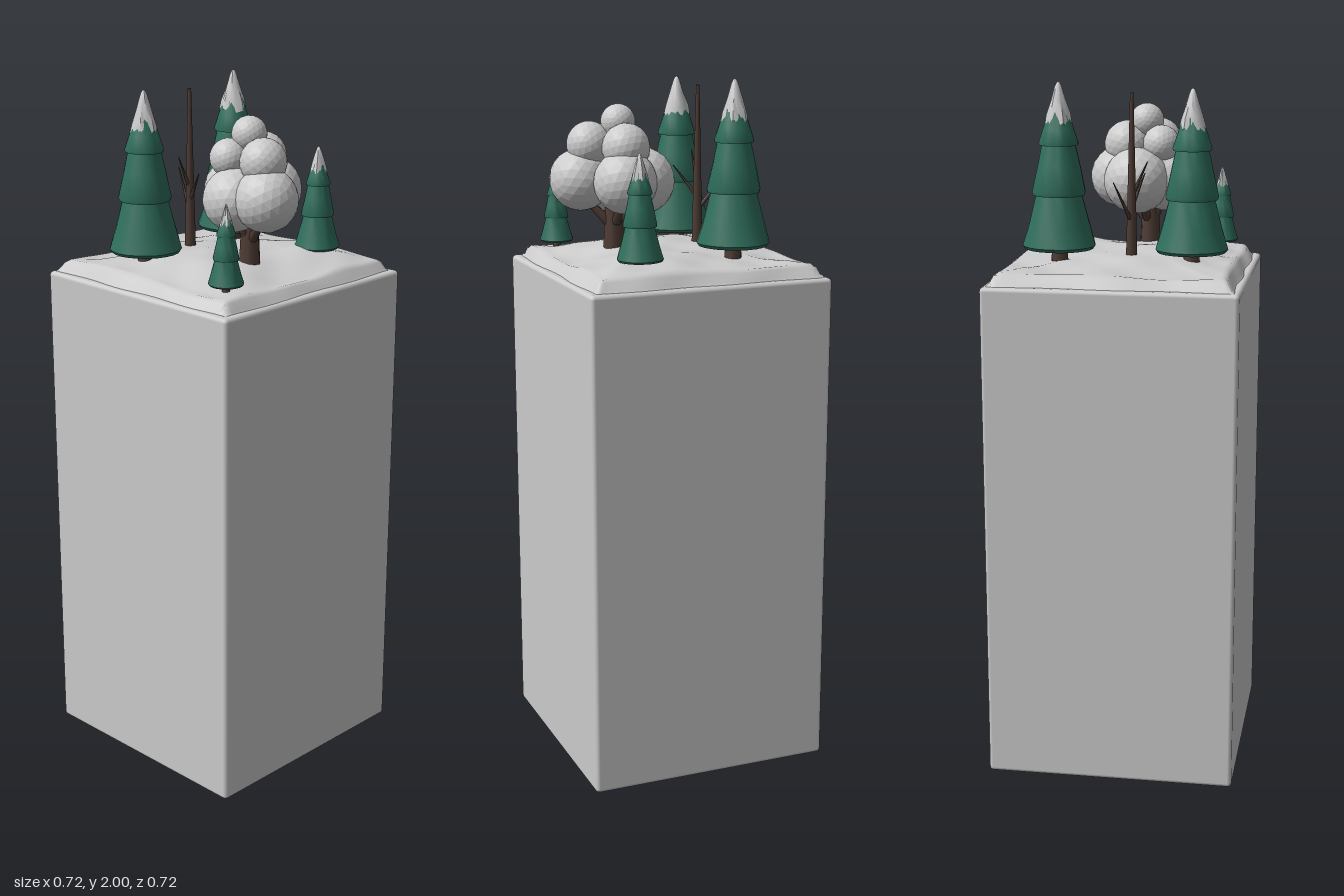
import * as THREE from 'three';
import { RoundedBoxGeometry } from 'three/addons/geometries/RoundedBoxGeometry.js';
import { toCreasedNormals } from 'three/addons/utils/BufferGeometryUtils.js';

const grey = new THREE.MeshStandardMaterial({ color: 0xcccccc });
const facetedSnow = new THREE.MeshStandardMaterial({ color: 0xcccccc, flatShading: true });
const green = new THREE.MeshStandardMaterial({ color: 0x2f6e5c });
const brown = new THREE.MeshStandardMaterial({ color: 0x4f3c35 });

function part(parent, name, geometry, material) {
  const mesh = new THREE.Mesh(geometry, material);
  mesh.name = name;
  parent.add(mesh);
  return mesh;
}

const smooth = (v, a, b) => THREE.MathUtils.smoothstep(v, a, b);

// Height of the snow: a steep rim, then soft drifts
function snowHeight(x, z) {
  const d = 0.35 - Math.max(Math.abs(x), Math.abs(z));
  const drift = 0.007 * Math.sin(11 * x + 4 * z + 1) + 0.005 * Math.sin(17 * z - 7 * x)
    + 0.003 * Math.sin(37 * x + 2) * Math.sin(31 * z);
  return 1.45 + 0.04 * smooth(d, 0, 0.035) + 0.025 * smooth(d, 0.02, 0.22) + drift * smooth(d, 0, 0.06);
}

function snowGeometry() {
  const g = new THREE.PlaneGeometry(0.7, 0.7, 56, 56).rotateX(-Math.PI / 2);
  const p = g.attributes.position;
  for (let i = 0; i < p.count; i++) {
    const x = p.getX(i), z = p.getZ(i);
    const edge = smooth(Math.max(Math.abs(x), Math.abs(z)), 0.3, 0.35);
    const wobble = 1 - 0.012 * edge * (1 + Math.sin(23 * x + 19 * z));
    p.setXYZ(i, x * wobble, snowHeight(x, z), z * wobble);
  }
  g.computeVertexNormals();
  return g;
}

// Lathe whose rings are gently irregular around the axis
function roughLathe(profile, sides, amount, seed, rim = 0) {
  const g = new THREE.LatheGeometry(profile.map(([r, y]) => new THREE.Vector2(r, y)), sides);
  const p = g.attributes.position;
  for (let i = 0; i < p.count; i++) {
    const x = p.getX(i), y = p.getY(i), z = p.getZ(i);
    const a = Math.atan2(z, x);
    const k = 1 + amount * (Math.sin(3 * a + seed + y * 40) + 0.6 * Math.sin(7 * a + seed * 2));
    const drop = y < 0.06 ? rim * Math.sin(5 * a + seed) : 0;
    p.setXYZ(i, x * k, y + drop, z * k);
  }
  return toCreasedNormals(g, 0.7);
}

// Tiered conifer with a snowy tip; profiles are fractions of radius and height
function conifer(parent, name, x, z, radius, base, top, seed) {
  const tree = new THREE.Group();
  tree.name = name;
  tree.position.set(x, base, z);
  const h = top - base;
  const tiers = [[0, 0.03], [0.94, 0], [1, 0.02], [0.84, 0.14], [0.6, 0.35],
    [0.71, 0.325], [0.73, 0.345], [0.58, 0.5], [0.44, 0.645],
    [0.53, 0.625], [0.54, 0.64], [0.42, 0.72], [0.28, 0.82], [0, 0.95]];
  const cap = [[0.3, 0], [0.385, 0.0], [0.34, 0.05], [0.2, 0.15], [0.1, 0.225], [0.05, 0.25], [0, 0.258]];
  const fit = ([r, y]) => [r * radius, y * h];
  part(tree, 'foliage', roughLathe(tiers.map(fit), 22, 0.012, seed), green);
  const tip = part(tree, 'snowCap', roughLathe(cap.map(fit), 12, 0.035, seed, 0.012 * h / 0.47), grey);
  tip.position.y = 0.742 * h;
  const trunk = part(tree, 'trunk', new THREE.CylinderGeometry(radius * 0.2, radius * 0.24, 0.08, 10), brown);
  trunk.position.y = -0.005;
  parent.add(tree);
}

// Tapered limb between two points
function limb(parent, name, from, to, r0, r1, sides = 8) {
  const a = new THREE.Vector3(...from), b = new THREE.Vector3(...to);
  const dir = b.clone().sub(a);
  const mesh = part(parent, name, new THREE.CylinderGeometry(r1, r0, dir.length(), sides), brown);
  mesh.position.copy(a).add(b).multiplyScalar(0.5);
  mesh.quaternion.setFromUnitVectors(new THREE.Vector3(0, 1, 0), dir.normalize());
}

export function createModel() {
  const model = new THREE.Group();
  model.name = 'snowyPedestal';

  // Pedestal and snow cover
  part(model, 'pedestal', new RoundedBoxGeometry(0.72, 1.455, 0.72, 2, 0.012), grey).position.y = 0.7275;
  part(model, 'snowGround', snowGeometry(), grey);

  // Conifers
  conifer(model, 'tallBackConifer', -0.135, -0.175, 0.104, 1.535, 2.0, 0.4);
  conifer(model, 'tallFrontConifer', -0.115, 0.2, 0.103, 1.53, 1.985, 2.1);
  conifer(model, 'smallBackConifer', 0.165, -0.217, 0.065, 1.515, 1.81, 3.7);
  conifer(model, 'smallFrontConifer', 0.252, 0.248, 0.049, 1.508, 1.725, 5.2);

  // Round tree with a snow-laden crown: x, y, z, radius
  const roundTree = new THREE.Group();
  roundTree.name = 'roundTree';
  limb(roundTree, 'trunk', [0.145, 1.48, 0.045], [0.145, 1.66, 0.045], 0.032, 0.023, 10);
  const crown = [
    [0.07, 1.705, 0.015, 0.096], [0.14, 1.71, -0.04, 0.091],
    [0.135, 1.7, 0.095, 0.09], [0.234, 1.71, 0.075, 0.09],
    [0.211, 1.81, 0.062, 0.066], [0.13, 1.805, -0.02, 0.069],
    [0.1, 1.81, 0.083, 0.054], [0.133, 1.874, 0.036, 0.05]];
  crown.forEach(([x, y, z, r], i) => {
    const puff = part(roundTree, 'crownPuff', new THREE.IcosahedronGeometry(r, 3), facetedSnow);
    puff.position.set(x, y, z);
    puff.rotation.set(i, i * 1.7, 0);
    if (i < 4) limb(roundTree, 'branch', [0.145, 1.57, 0.045], [x, y - 0.04, z], 0.016, 0.008);
  });
  model.add(roundTree);

  // Bare tree
  const bareTree = new THREE.Group();
  bareTree.name = 'bareTree';
  limb(bareTree, 'trunk', [-0.11, 1.48, 0.028], [-0.11, 1.97, 0.028], 0.017, 0.005, 9);
  [[-0.196, 1.73, 0.01 - 0.02, 1.61], [-0.045, 1.74, 0.056, 1.65], [-0.11, 1.78, 0.073, 1.68]]
    .forEach(([x, y, z, start]) =>
      limb(bareTree, 'branch', [-0.11, start, 0.028], [x, y, z], 0.007, 0.0015, 6));
  model.add(bareTree);

  return model;
}
